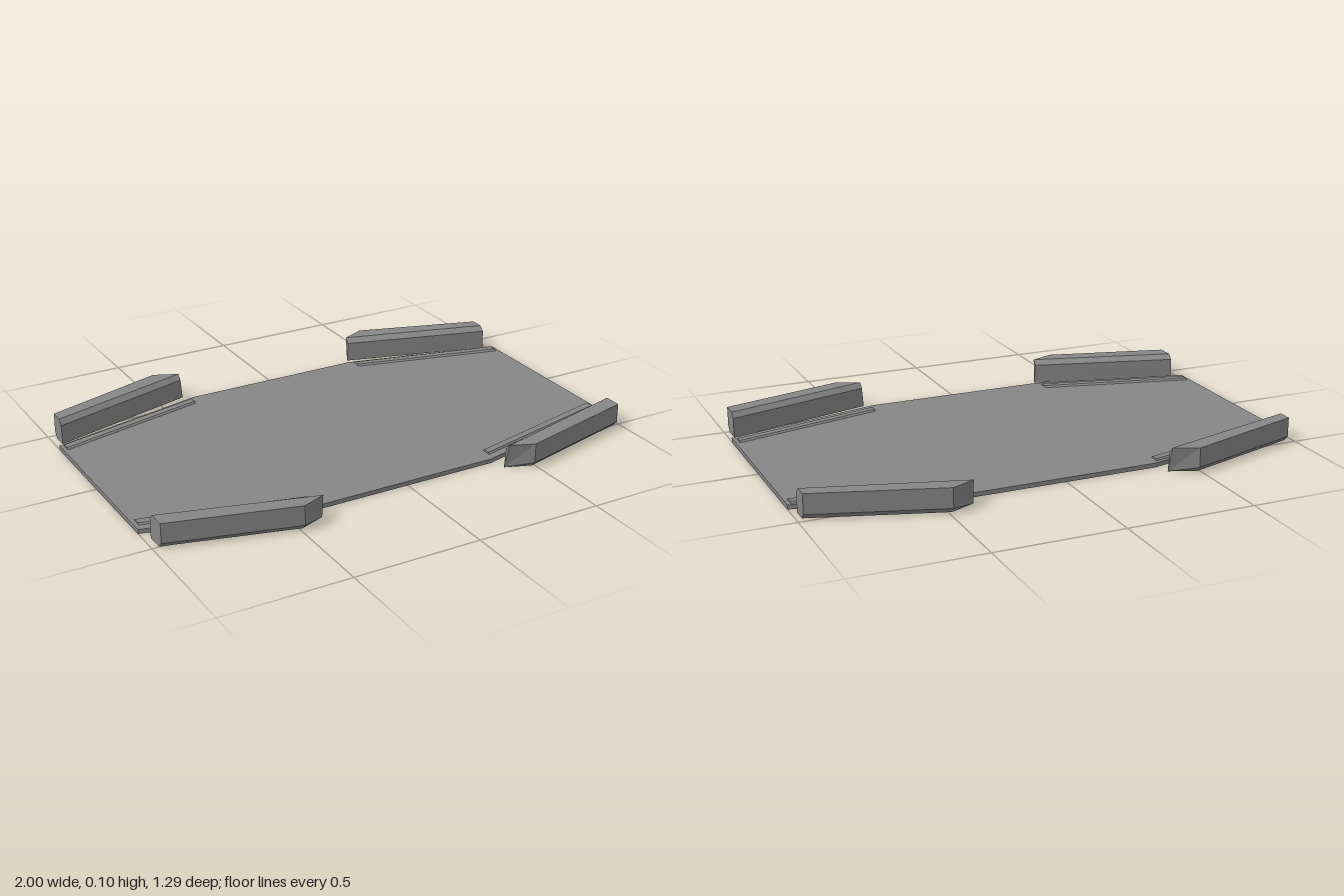
import * as THREE from 'three';

const material = new THREE.MeshStandardMaterial({ color: 0x868686, flatShading: true });

// Lofts between two sections of [x, y, z] points, mirrored into the corner (sx, sz).
function loft(name, start, end, sx, sz) {
  const n = start.length;
  const positions = [...start, ...end].flatMap(([x, y, z]) => [sx * x, y, sz * z]);
  const indices = [];
  const tri = (a, b, c) => (sx * sz > 0 ? indices.push(a, b, c) : indices.push(a, c, b));
  for (let j = 0; j < n; j++) {
    const k = (j + 1) % n;
    tri(j, j + n, k);
    tri(k, j + n, k + n);
  }
  for (let k = 1; k < n - 1; k++) {
    tri(0, k, k + 1);
    tri(n, n + k + 1, n + k);
  }
  const indexed = new THREE.BufferGeometry();
  indexed.setAttribute('position', new THREE.Float32BufferAttribute(positions, 3));
  indexed.setIndex(indices);
  const geometry = indexed.toNonIndexed();
  geometry.computeVertexNormals();
  const mesh = new THREE.Mesh(geometry, material);
  mesh.name = name;
  return mesh;
}

// Kerb section, chamfered at the inner top and outer bottom edges.
// Different inner and outer x give an oblique end face.
const kerbSection = (innerX, inner, outerX, outer, footX = innerX) => [
  [footX, 0, inner], [innerX, 0.078, inner], [innerX, 0.098, inner + 0.02],
  [outerX, 0.098, outer], [outerX, 0.021, outer], [outerX, 0, outer - 0.02],
];

// Low ridge section with sloped sides.
const ridgeSection = (x, inner, outer) => [
  [x, 0.012, inner], [x, 0.024, inner + 0.012], [x, 0.024, outer - 0.008], [x, 0.012, outer],
];

export function createModel() {
  const group = new THREE.Group();
  group.name = 'platform';

  // Flat plate with tapered corners; shape y becomes -z
  const outline = [
    [1, 0.373], [0.367, 0.53], [-0.367, 0.53], [-1, 0.373],
    [-1, -0.381], [-0.367, -0.534], [0.367, -0.534], [1, -0.381],
  ];
  const shape = new THREE.Shape(outline.map(([x, y]) => new THREE.Vector2(x, y)));
  const plateGeometry = new THREE.ExtrudeGeometry(shape, { depth: 0.017, bevelEnabled: false });
  plateGeometry.rotateX(-Math.PI / 2);
  const plate = new THREE.Mesh(plateGeometry, material);
  plate.name = 'basePlate';
  group.add(plate);

  for (const sz of [1, -1]) {
    // The front pair sits slightly differently from the back pair
    const front = sz > 0;
    const shift = front ? 0 : 0.012;
    const [endInner, endOuter] = front ? [0.428, 0.517] : [0.414, 0.49];
    const tipInner = front ? 0.588 : 0.584;
    for (const sx of [1, -1]) {
      const side = (front ? 'front' : 'back') + (sx > 0 ? 'Left' : 'Right');
      const endX = sx > 0 ? 0.978 : 0.973;
      // Ridge along the slanted edge of the plate
      group.add(loft(side + 'Ridge',
        ridgeSection(0.985, 0.306 + shift, 0.356 + shift),
        ridgeSection(0.383, 0.454 + shift, 0.502 + shift), sx, sz));
      // Kerb beside the plate, cut obliquely at its inner end
      group.add(loft(side + 'Kerb',
        kerbSection(endX, endInner, endX, endOuter),
        kerbSection(0.395, tipInner, 0.488, 0.646, 0.389), sx, sz));
    }
  }
  return group;
}
